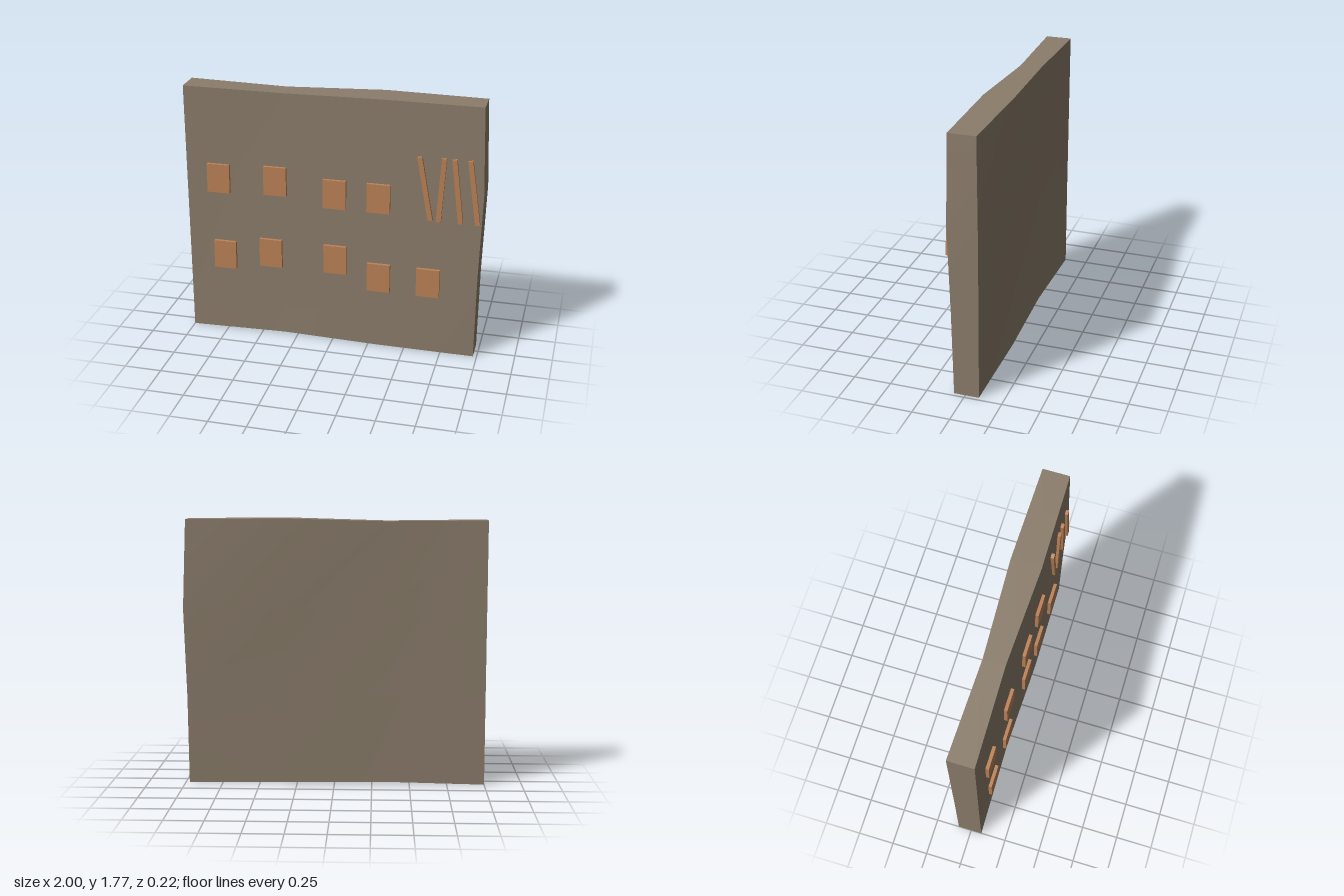
import * as THREE from 'three';

// Slab control grid: four columns (left to right on screen) by four rows (bottom to top)
const HALF_DEPTH = [
  [0.083, 0.083, 0.085, 0.087],
  [0.070, 0.066, 0.064, 0.072],
  [0.090, 0.086, 0.094, 0.100],
  [0.083, 0.090, 0.099, 0.090],
];
const BOTTOM_Y = [0.005, 0.015, 0.012, 0.005];
const TOP_Y = [1.762, 1.755, 1.773, 1.768];
const RIGHT_X = [0.975, 0.98, 0.997, 0.975];

// Gently warped slab: a segmented box with its vertices moved onto the grid
function makeSlab(material) {
  const geo = new THREE.BoxGeometry(3, 3, 2, 3, 3, 1);
  const p = geo.attributes.position;
  for (let k = 0; k < p.count; k++) {
    const i = Math.round(p.getX(k) + 1.5);
    const j = Math.round(p.getY(k) + 1.5);
    const side = Math.sign(p.getZ(k));
    p.setXYZ(
      k,
      THREE.MathUtils.lerp(-1, RIGHT_X[j], i / 3),
      THREE.MathUtils.lerp(BOTTOM_Y[i], TOP_Y[i], j / 3),
      -0.008 + side * HALF_DEPTH[i][j],
    );
  }
  geo.computeVertexNormals();
  const slab = new THREE.Mesh(geo, material);
  slab.name = 'slab';
  return slab;
}

export function createModel() {
  const model = new THREE.Group();
  model.name = 'carvedTablet';
  const stone = new THREE.MeshStandardMaterial({ color: 0x8b7d6b });
  const clay = new THREE.MeshStandardMaterial({ color: 0xbc8256 });
  model.add(makeSlab(stone));

  // Raised pieces on the front face
  const addPiece = (name, x, y, w, h, lean = 0) => {
    const piece = new THREE.Mesh(new THREE.BoxGeometry(w, h, 0.022), clay);
    piece.name = name;
    piece.position.set(x, y, 0.096);
    piece.rotation.z = lean;
    model.add(piece);
  };

  // Two rows of rectangular tiles
  const tiles = [
    [-0.773, 1.14], [-0.383, 1.155], [0.02, 1.1], [0.314, 1.1],
    [-0.743, 0.585], [-0.42, 0.63], [0.024, 0.63], [0.322, 0.53], [0.655, 0.53],
  ];
  tiles.forEach(([x, y], n) => addPiece(`tile${n + 1}`, x, y, 0.155, 0.2));

  // Leaning strokes: x at the top and x at the bottom
  const strokes = [[0.578, 0.658], [0.736, 0.711], [0.802, 0.855], [0.903, 0.966]];
  strokes.forEach(([top, bottom], n) => {
    const lean = Math.atan2(bottom - top, 0.436);
    addPiece(`stroke${n + 1}`, (top + bottom) / 2, 1.197, 0.032, 0.437, lean);
  });

  return model;
}
